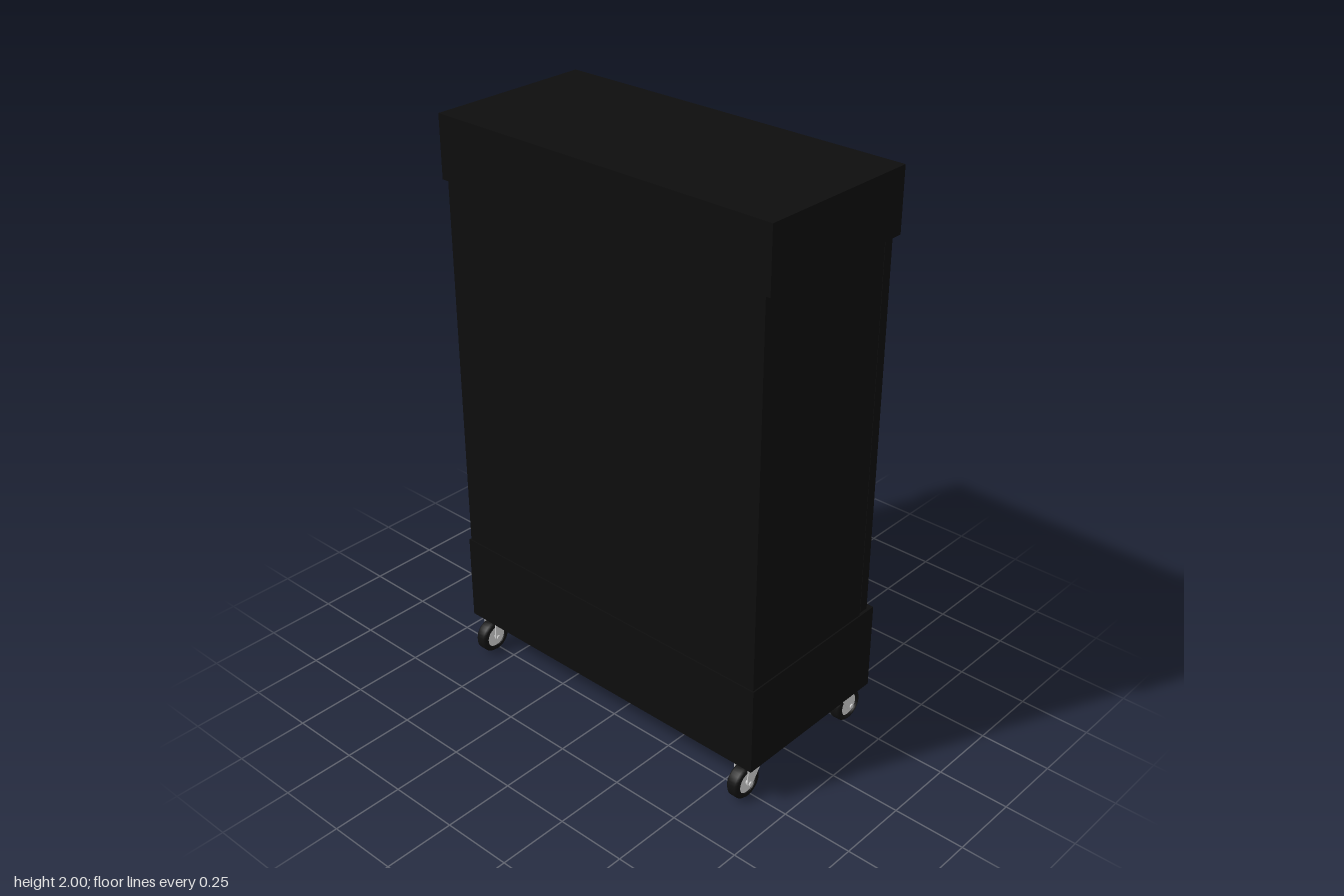
import * as THREE from 'three';

const mat = (color) => new THREE.MeshStandardMaterial({ color });
const black = mat(0x0d0d0d);
const rubber = mat(0x111111);
const grey = mat(0xcccccc);
const cream = mat(0xe2daa5);

function add(parent, name, geometry, material, x = 0, y = 0, z = 0) {
  const mesh = new THREE.Mesh(geometry, material);
  mesh.name = name;
  mesh.position.set(x, y, z);
  parent.add(mesh);
  return mesh;
}

// Box given by its extents along each axis
function box(parent, name, [x0, x1], [y0, y1], [z0, z1], material = black) {
  return add(parent, name, new THREE.BoxGeometry(x1 - x0, y1 - y0, z1 - z0), material,
    (x0 + x1) / 2, (y0 + y1) / 2, (z0 + z1) / 2);
}

// Rectangular frame with an opening, facing +x; z and y ranges for outside and opening
function frame(parent, name, [x0, x1], [z0, z1], [y0, y1], [hz0, hz1], [hy0, hy1]) {
  const rect = (S, a, b, c, d) => {
    const s = new S();
    s.moveTo(-a, c);
    s.lineTo(-a, d);
    s.lineTo(-b, d);
    s.lineTo(-b, c);
    s.closePath();
    return s;
  };
  const shape = rect(THREE.Shape, z0, z1, y0, y1);
  shape.holes.push(rect(THREE.Path, hz0, hz1, hy0, hy1));
  const geometry = new THREE.ExtrudeGeometry(shape, { depth: x1 - x0, bevelEnabled: false });
  geometry.rotateY(Math.PI / 2);
  return add(parent, name, geometry, black, x0);
}

// Glass door with its handle; side = 1 or -1 along z
function door(side) {
  const g = new THREE.Group();
  g.name = 'door';
  const range = (a, b) => (side > 0 ? [a, b] : [-b, -a]);
  frame(g, 'doorFrame', [0.255, 0.29], range(0.003, 0.638), [0.46, 1.78],
    range(0.06, 0.585), [0.515, 1.72]);
  box(g, 'doorGlass', [0.262, 0.282], [0.513, 1.722], range(0.058, 0.587), grey);
  const z = side * 0.035;
  add(g, 'handleBar', new THREE.CylinderGeometry(0.008, 0.008, 0.26, 16), black, 0.312, 1.09, z);
  for (const y of [1.0, 1.18]) {
    const post = add(g, 'handlePost', new THREE.CylinderGeometry(0.005, 0.005, 0.026, 12), black, 0.3, y, z);
    post.rotation.z = Math.PI / 2;
  }
  // Hinges above and below the door
  for (const y of [0.458, 1.782]) box(g, 'hinge', [0.25, 0.28], [y - 0.004, y + 0.004], range(0.6, 0.632));
  return g;
}

// Swivel caster whose wheel trails toward +x
function caster() {
  const g = new THREE.Group();
  g.name = 'caster';
  box(g, 'mountingPlate', [-0.05, 0.05], [0.132, 0.14], [-0.035, 0.035], grey);
  add(g, 'swivel', new THREE.CylinderGeometry(0.028, 0.034, 0.012, 24), grey, 0, 0.126);
  box(g, 'forkTop', [-0.028, 0.035], [0.118, 0.124], [-0.03, 0.03], grey);

  const cheek = new THREE.Shape();
  cheek.moveTo(-0.03, 0.124);
  cheek.lineTo(0.018, 0.055);
  cheek.quadraticCurveTo(0.034, 0.04, 0.046, 0.06);
  cheek.lineTo(0.042, 0.124);
  cheek.closePath();
  const cheekGeometry = new THREE.ExtrudeGeometry(cheek, { depth: 0.004, bevelEnabled: false });
  for (const z of [-0.03, 0.026]) add(g, 'forkCheek', cheekGeometry, grey, 0, 0, z);

  // Tyre section turned around the axle
  const section = [[0.04, -0.022], [0.053, -0.022], [0.06, -0.014], [0.06, 0.014],
    [0.053, 0.022], [0.04, 0.022], [0.04, -0.022]].map(([r, h]) => new THREE.Vector2(r, h));
  const round = [
    ['tyre', new THREE.LatheGeometry(section, 32), rubber],
    ['hub', new THREE.CylinderGeometry(0.041, 0.041, 0.034, 32), grey],
    ['axle', new THREE.CylinderGeometry(0.008, 0.008, 0.07, 12), grey],
  ];
  for (const [name, geometry, material] of round) {
    add(g, name, geometry, material, 0.033, 0.06, 0).rotation.x = Math.PI / 2;
  }
  return g;
}

export function createModel() {
  const model = new THREE.Group();
  model.name = 'displayCooler';

  // Cabinet
  box(model, 'cabinet', [-0.295, 0.25], [0.45, 1.79], [-0.64, 0.64]);

  // Header with a lit sign panel
  box(model, 'header', [-0.3, 0.288], [1.785, 2], [-0.66, 0.66]);
  frame(model, 'signRim', [0.288, 0.297], [-0.66, 0.66], [1.785, 2], [-0.645, 0.645], [1.797, 1.987]);
  box(model, 'signPanel', [0.286, 0.294], [1.795, 1.989], [-0.647, 0.647], cream);

  // Doors
  for (const side of [1, -1]) model.add(door(side));

  // Base with a louvred grille
  box(model, 'base', [-0.3, 0.295], [0.14, 0.455], [-0.645, 0.645]);
  frame(model, 'grilleFrame', [0.295, 0.318], [-0.645, 0.645], [0.14, 0.455], [-0.61, 0.61], [0.165, 0.42]);
  for (let i = 0; i < 5; i++) {
    const slat = add(model, 'grilleSlat', new THREE.BoxGeometry(0.006, 0.046, 1.22), black, 0.307, 0.19 + i * 0.05, 0);
    slat.rotation.z = 0.3;
  }

  // Casters, front and back pairs trailing outward
  for (const sx of [1, -1]) {
    for (const sz of [1, -1]) {
      const c = caster();
      c.position.set(sx * 0.235, 0, sz * 0.588);
      if (sx < 0) c.rotation.y = Math.PI;
      model.add(c);
    }
  }
  return model;
}
